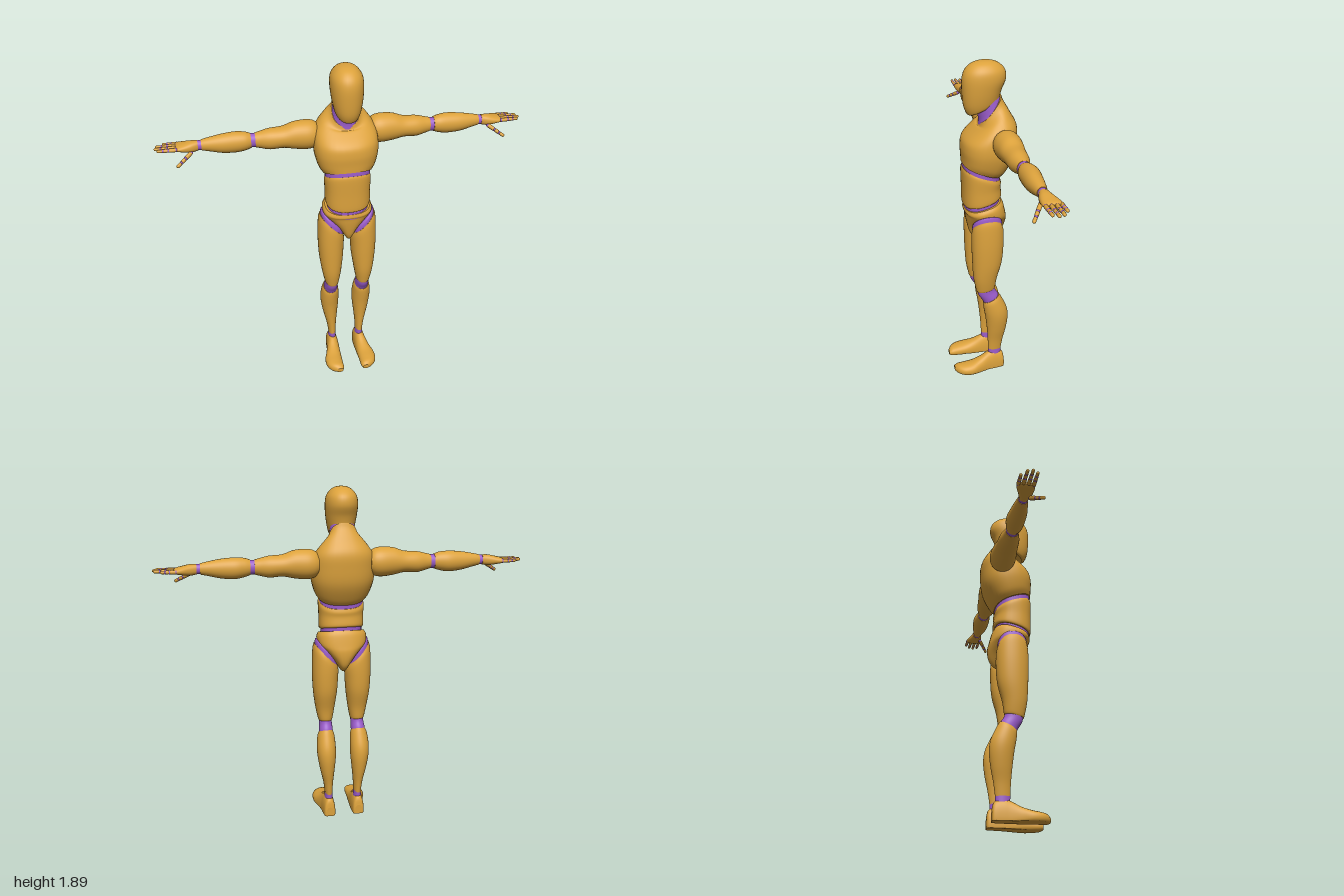
import * as THREE from 'three';
import { mergeGeometries } from 'three/addons/utils/BufferGeometryUtils.js';

const SEG = 36, SUB = 5;

// Uniform Catmull-Rom blend of one value
function spline(a, b, c, d, t) {
  return 0.5 * (2 * b + (c - a) * t + (2 * a - 5 * b + 4 * c - d) * t * t + (3 * b - a - 3 * c + d) * t * t * t);
}

// Smooth solid along y. Section: [y, cx, cz, rx, rz, tilt along z, tilt along x]
function loft(sections, power = 2) {
  const s = sections.map((r) => [...r, 0, 0].slice(0, 7));
  const rows = [];
  for (let i = 0; i < s.length - 1; i++) {
    const a = s[Math.max(i - 1, 0)], b = s[i], c = s[i + 1], d = s[Math.min(i + 2, s.length - 1)];
    for (let k = 0; k < SUB; k++) rows.push(b.map((_, j) => spline(a[j], b[j], c[j], d[j], k / SUB)));
  }
  rows.push(s[s.length - 1]);
  const pos = [], idx = [];
  const ring = ([y, cx, cz, rx, rz, tz, tx]) => {
    const start = pos.length / 3;
    for (let j = 0; j < SEG; j++) {
      const t = (j / SEG) * Math.PI * 2, c = Math.cos(t), n = Math.sin(t);
      const dx = Math.sign(c) * Math.abs(c) ** (2 / power) * Math.max(rx, 0.001);
      const dz = Math.sign(n) * Math.abs(n) ** (2 / power) * Math.max(rz, 0.001);
      pos.push(cx + dx, y + tz * dz + tx * dx, cz + dz);
    }
    return start;
  };
  const starts = rows.map(ring);
  for (let i = 0; i < starts.length - 1; i++) {
    for (let j = 0; j < SEG; j++) {
      const k = (j + 1) % SEG, p = starts[i], q = starts[i + 1];
      idx.push(p + j, q + j, p + k, p + k, q + j, q + k);
    }
  }
  // End caps with their own rims, so the edges stay crisp
  [rows[0], rows[rows.length - 1]].forEach((row, end) => {
    const r = ring(row), mid = pos.length / 3;
    pos.push(row[1], row[0], row[2]);
    for (let j = 0; j < SEG; j++) {
      const k = (j + 1) % SEG;
      if (end) idx.push(mid, r + k, r + j);
      else idx.push(mid, r + j, r + k);
    }
  });
  const g = new THREE.BufferGeometry();
  g.setAttribute('position', new THREE.Float32BufferAttribute(pos, 3));
  g.setIndex(idx);
  g.computeVertexNormals();
  return g;
}

// Lofts laid along the arm and along the foot
const armLoft = (s, p) => loft(s, p).rotateZ(-Math.PI / 2).translate(0, 1.482, -0.088);
function footLoft(s) {
  const g = loft(s, 2.2).rotateX(Math.PI / 2), p = g.attributes.position;
  for (let i = 0; i < p.count; i++) p.setY(i, Math.max(p.getY(i), 0));
  g.computeVertexNormals();
  return g;
}

// Rounded rod between two points
function rod(a, b, r) {
  const dir = b.clone().sub(a);
  const g = new THREE.CapsuleGeometry(r, Math.max(dir.length() - r, 0.001), 4, 12);
  g.applyQuaternion(new THREE.Quaternion().setFromUnitVectors(new THREE.Vector3(0, 1, 0), dir.normalize()));
  const m = a.clone().add(b).multiplyScalar(0.5);
  return g.translate(m.x, m.y, m.z);
}

function mirrored(geo) {
  const g = geo.clone().scale(-1, 1, 1), ix = g.index;
  for (let i = 0; i < ix.count; i += 3) {
    const t = ix.getX(i);
    ix.setX(i, ix.getX(i + 1));
    ix.setX(i + 1, t);
  }
  return g;
}

export function createModel() {
  const model = new THREE.Group();
  model.name = 'mannequin';
  const shell = new THREE.MeshStandardMaterial({ name: 'amber shell', color: 0xdca23c });
  const joint = new THREE.MeshStandardMaterial({ name: 'purple joint', color: 0x9a5cca });
  const add = (name, geo, mat) => {
    const m = new THREE.Mesh(geo, mat);
    m.name = name;
    model.add(m);
  };
  const addPair = (name, geo, mat) => {
    add(name + 'Left', geo, mat);
    add(name + 'Right', mirrored(geo), mat);
  };

  // Head and neck
  add('head', loft([
    [1.64, 0, -0.014, 0.056, 0.078, -0.5], [1.65, 0, -0.01, 0.066, 0.088, -0.48],
    [1.68, 0, -0.003, 0.075, 0.098, -0.3], [1.73, 0, -0.004, 0.083, 0.106, -0.1],
    [1.79, 0, -0.014, 0.087, 0.116], [1.835, 0, -0.018, 0.08, 0.107],
    [1.867, 0, -0.018, 0.057, 0.077], [1.882, 0, -0.018, 0.03, 0.04], [1.886, 0, -0.018, 0.002, 0.003],
  ], 2.15), shell);
  add('neck', loft([
    [1.57, 0, -0.04, 0.078, 0.058, -1.1], [1.63, 0, -0.042, 0.071, 0.056, -1.15],
    [1.67, 0, -0.035, 0.066, 0.056, -0.9], [1.73, 0, -0.03, 0.06, 0.055, -0.4],
  ]), joint);

  // Torso
  add('chest', loft([
    [1.295, 0, 0.003, 0.13, 0.104, 0.36], [1.33, 0, -0.01, 0.153, 0.118, 0.32],
    [1.4, 0, -0.03, 0.172, 0.14, 0.15], [1.47, 0, -0.042, 0.173, 0.141, 0],
    [1.53, 0, -0.062, 0.16, 0.12, -0.15], [1.575, 0, -0.06, 0.127, 0.088, -0.45],
    [1.605, 0, -0.05, 0.088, 0.066, -1.0], [1.63, 0, -0.046, 0.073, 0.058, -1.25],
  ], 2.4), shell);
  add('upperWaistJoint', loft([
    [1.22, 0, 0.003, 0.119, 0.098, 0.3], [1.27, 0, 0.003, 0.122, 0.1, 0.36], [1.33, 0, 0, 0.122, 0.098, 0.36],
  ], 2.4), joint);
  add('abdomen', loft([
    [1.11, 0, 0, 0.117, 0.1, -0.25], [1.125, 0, 0, 0.124, 0.107, -0.22], [1.19, 0, 0.003, 0.124, 0.105, 0],
    [1.25, 0, 0.003, 0.127, 0.107, 0.32], [1.272, 0, 0.003, 0.122, 0.102, 0.36],
  ], 2.4), shell);
  add('lowerWaistJoint', loft([
    [1.06, 0, 0, 0.114, 0.096, -0.25], [1.14, 0, 0, 0.114, 0.096, -0.25],
  ], 2.4), joint);
  add('pelvis', loft([
    [0.875, 0, -0.02, 0.008, 0.05], [0.885, 0, -0.022, 0.018, 0.075], [0.915, 0, -0.026, 0.036, 0.097],
    [0.955, 0, -0.027, 0.064, 0.108], [1.0, 0, -0.024, 0.104, 0.113], [1.035, 0, -0.018, 0.133, 0.112],
    [1.07, 0, -0.008, 0.138, 0.108, -0.2], [1.092, 0, -0.003, 0.126, 0.1, -0.25],
  ], 2.5), shell);

  // Legs
  addPair('hipJoint', loft([
    [0.93, 0.09, -0.012, 0.064, 0.082, 0, 0.9], [0.988, 0.085, -0.012, 0.062, 0.082, 0, 1.0],
    [1.0, 0.082, -0.012, 0.05, 0.065, 0, 1.0],
  ], 2.2), joint);
  addPair('thigh', loft([
    [0.565, 0.092, -0.002, 0.037, 0.051, -0.15], [0.58, 0.093, -0.002, 0.042, 0.056, -0.1],
    [0.65, 0.094, 0, 0.055, 0.068], [0.75, 0.094, -0.01, 0.068, 0.084],
    [0.85, 0.094, -0.013, 0.073, 0.09, 0, 0.3], [0.93, 0.091, -0.013, 0.072, 0.09, 0, 0.85],
    [0.965, 0.088, -0.011, 0.066, 0.083, 0, 1.0],
  ], 2.15), shell);
  addPair('kneeJoint', loft([
    [0.47, 0.094, -0.042, 0.04, 0.042, -0.5], [0.51, 0.094, -0.031, 0.04, 0.046, -0.4],
    [0.55, 0.093, -0.008, 0.037, 0.05, -0.2], [0.6, 0.093, 0, 0.036, 0.048],
  ]), joint);
  addPair('shin', loft([
    [0.125, 0.085, -0.061, 0.021, 0.039], [0.2, 0.088, -0.065, 0.028, 0.046], [0.28, 0.093, -0.07, 0.041, 0.057],
    [0.36, 0.096, -0.07, 0.052, 0.066], [0.42, 0.097, -0.062, 0.054, 0.067, -0.1],
    [0.48, 0.096, -0.043, 0.049, 0.055, -0.35], [0.505, 0.095, -0.035, 0.041, 0.047, -0.5],
  ]), shell);
  addPair('ankleJoint', loft([[0.07, 0.085, -0.061, 0.024, 0.038], [0.135, 0.085, -0.061, 0.0215, 0.0395]]), joint);
  addPair('foot', footLoft([
    [-0.117, 0.085, -0.02, 0.022, 0.035], [-0.106, 0.085, -0.02, 0.032, 0.08], [-0.06, 0.086, -0.02, 0.036, 0.096],
    [-0.02, 0.088, -0.02, 0.038, 0.087], [0.03, 0.095, -0.02, 0.044, 0.06], [0.08, 0.103, -0.02, 0.051, 0.042],
    [0.13, 0.102, -0.02, 0.049, 0.034], [0.165, 0.092, -0.02, 0.038, 0.027], [0.186, 0.08, -0.018, 0.018, 0.014],
  ]), shell);

  // Arms
  addPair('upperArm', armLoft([
    [0.14, -0.008, 0, 0.055, 0.055], [0.165, -0.007, 0, 0.073, 0.068], [0.205, -0.007, 0, 0.08, 0.074],
    [0.27, -0.008, 0, 0.074, 0.068], [0.33, -0.004, 0, 0.058, 0.061], [0.4, 0, 0, 0.057, 0.055],
    [0.45, 0, 0, 0.046, 0.042], [0.477, 0, 0, 0.039, 0.035],
  ]), shell);
  addPair('elbowJoint', armLoft([[0.455, 0, 0, 0.037, 0.033], [0.52, 0, 0, 0.038, 0.034]]), joint);
  addPair('forearm', armLoft([
    [0.5, 0, 0, 0.04, 0.036], [0.53, 0, 0, 0.05, 0.045], [0.58, 0.002, -0.003, 0.056, 0.05],
    [0.65, 0.002, 0, 0.051, 0.045], [0.72, 0, 0, 0.037, 0.034], [0.757, 0, 0, 0.029, 0.026],
  ]), shell);
  addPair('wristJoint', armLoft([[0.74, 0, 0, 0.027, 0.024], [0.795, 0, 0, 0.025, 0.023]]), joint);
  addPair('palm', armLoft([
    [0.775, 0, 0, 0.027, 0.025], [0.81, 0.003, 0, 0.029, 0.035], [0.85, 0.004, -0.006, 0.022, 0.045],
    [0.88, 0.004, -0.01, 0.015, 0.047], [0.892, 0.004, -0.01, 0.007, 0.04],
  ], 2.3), shell);

  // Fingers and thumb: three rods each, with a small ball at every knuckle
  const digits = [
    ['index', 0.883, 1.479, -0.06, 0.985, 1.48, -0.06], ['middle', 0.885, 1.479, -0.086, 1, 1.48, -0.086],
    ['ring', 0.883, 1.479, -0.112, 0.993, 1.48, -0.112], ['little', 0.877, 1.478, -0.136, 0.958, 1.479, -0.138],
    ['thumb', 0.81, 1.456, -0.064, 0.893, 1.408, -0.008],
  ];
  for (const [name, ax, ay, az, bx, by, bz] of digits) {
    const r = name === 'thumb' ? 0.011 : 0.0105;
    const a = new THREE.Vector3(ax, ay, az), b = new THREE.Vector3(bx - r / 2, by, bz);
    const at = (t) => a.clone().lerp(b, t);
    const bones = [], knuckles = [];
    [[0, 0.4], [0.46, 0.69], [0.75, 1]].forEach(([s, e], i) => {
      bones.push(rod(at(s), at(e), r - i * 0.001));
      const k = at([0.04, 0.43, 0.72][i]);
      knuckles.push(new THREE.SphereGeometry(r - i * 0.0007, 12, 8).translate(k.x, k.y, k.z));
    });
    addPair(name + 'Digit', mergeGeometries(bones), shell);
    addPair(name + 'Knuckles', mergeGeometries(knuckles), joint);
  }
  return model;
}
